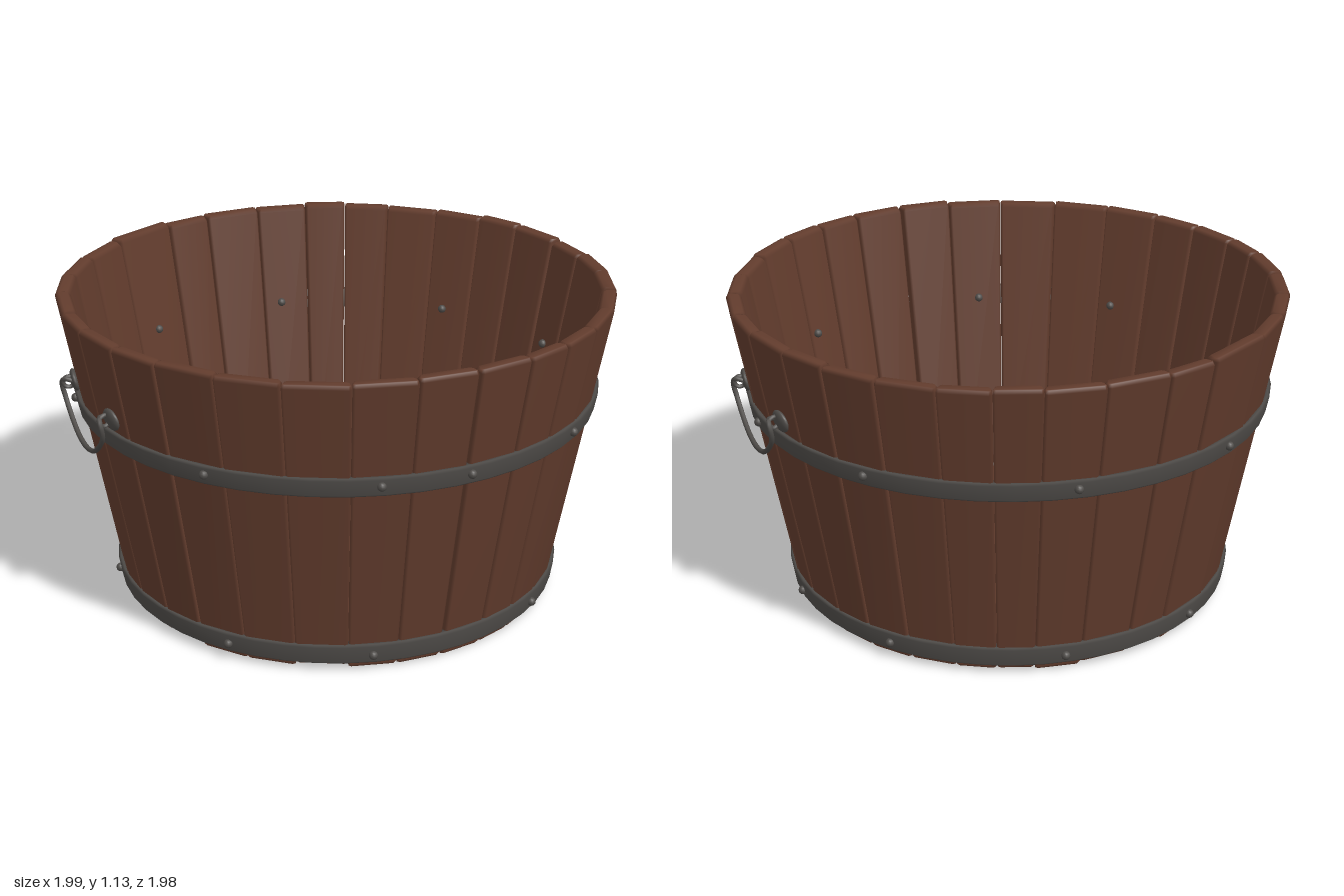
import * as THREE from 'three';

const wood = new THREE.MeshStandardMaterial({ color: 0x623c2d });
wood.name = 'brown wood';
const iron = new THREE.MeshStandardMaterial({ color: 0x4e4b48 });
iron.name = 'dark iron';

const RAD = Math.PI / 180;
const TOP = 1.13, WALL = 0.055;
// Outer radius of the flared wall at height y
const wallRadius = (y) => 0.787 + 0.211 * (y / TOP);

let seed = 7;
function rand() {
  seed = (seed * 16807) % 2147483647;
  return seed / 2147483647;
}

function add(parent, name, geometry, material, x = 0, y = 0, z = 0) {
  const mesh = new THREE.Mesh(geometry, material);
  mesh.name = name;
  mesh.position.set(x, y, z);
  parent.add(mesh);
  return mesh;
}

// One tapered plank facing +z, with softened edges
function staveGeometry(half, gapA, gapB, y0, y1, shift) {
  const rings = [[y0, 0.008], [y0 + 0.012, 0], [y1 - 0.012, 0], [y1, 0.009]];
  const pos = [], idx = [], n = 8, b = 0.008;
  for (const [y, inset] of rings) {
    const R = wallRadius(y) + shift;
    const zo = R * Math.cos(half) - inset, zi = (R - WALL) * Math.cos(half) + inset;
    const xo = R * Math.sin(half), xi = (R - WALL) * Math.sin(half);
    const lo = -xo + gapA + inset * 0.4, ro = xo - gapB - inset * 0.4;
    const li = -xi + gapA + inset * 0.4, ri = xi - gapB - inset * 0.4;
    const section = [
      [lo, zo - b], [lo + b, zo], [ro - b, zo], [ro, zo - b],
      [ri, zi + b], [ri - b, zi], [li + b, zi], [li, zi + b],
    ];
    for (const [x, z] of section) pos.push(x, y, z);
  }
  for (let r = 0; r < rings.length - 1; r++) {
    for (let i = 0; i < n; i++) {
      const a = r * n + i, c = r * n + (i + 1) % n;
      idx.push(a, c, c + n, a, c + n, a + n);
    }
  }
  const t = (rings.length - 1) * n;
  for (let i = 1; i < n - 1; i++) idx.push(t, t + i, t + i + 1, 0, i + 1, i);
  const g = new THREE.BufferGeometry();
  g.setAttribute('position', new THREE.Float32BufferAttribute(pos, 3));
  g.setIndex(idx);
  g.computeVertexNormals();
  return g;
}

// Hoop with a slightly rounded outer face, given outer radii and heights
function hoopGeometry(y0, y1, r0, r1, depth) {
  const e = 0.007;
  const p = [
    [r0 - depth, y0], [r0 - e, y0], [r0, y0 + e],
    [r1, y1 - e], [r1 - e, y1], [r1 - depth, y1], [r0 - depth, y0],
  ].map(([x, y]) => new THREE.Vector2(x, y));
  return new THREE.LatheGeometry(p, 48);
}

// Bail handle hanging between two bosses, built facing +x
function makeHandle(name) {
  const g = new THREE.Group();
  g.name = name;
  const path = [
    [0.935, 0.845, 0.175], [0.965, 0.85, 0.195], [0.967, 0.825, 0.215],
    [0.96, 0.78, 0.205], [0.957, 0.72, 0.145], [0.956, 0.68, 0.075],
  ];
  const pts = path.map(([x, y, z]) => new THREE.Vector3(x, y, z));
  pts.push(new THREE.Vector3(0.956, 0.667, 0));
  for (const [x, y, z] of [...path].reverse()) pts.push(new THREE.Vector3(x, y, -z));
  add(g, 'bail', new THREE.TubeGeometry(new THREE.CatmullRomCurve3(pts), 64, 0.009, 8), iron);
  for (const s of [1, -1]) {
    const boss = add(g, 'handleBoss', new THREE.SphereGeometry(0.045, 16, 10), iron, 0.925, 0.84, s * 0.2);
    boss.scale.set(0.35, 0.9, 1);
    boss.rotation.set(0, -s * 12 * RAD, -10.6 * RAD);
    const eye = add(g, 'handleEye', new THREE.TorusGeometry(0.02, 0.008, 6, 14), iron, 0.948, 0.838, s * 0.195);
    eye.rotation.y = -s * 12 * RAD;
  }
  return g;
}

export function createModel() {
  const model = new THREE.Group();
  model.name = 'woodenTub';

  // Staves: seam angles in degrees, from the front towards +x
  const seams = [
    2.5, 14.5, 25, 36, 48.5, 60.8, 72.4, 84.5, 95.5, 108.3, 119, 130.7, 142.8, 153.2, 162.7, 174.5,
    187.7, 198.5, 215, 228, 240, 252, 265, 275.3, 287.4, 299, 312, 325, 338, 350.5, 362.5,
  ];
  const staves = new THREE.Group();
  staves.name = 'staves';
  model.add(staves);
  const gap = (a) => ([2.5, 362.5, 95.5, 265].includes(a) ? 0.005 : 0.0018);
  for (let i = 0; i < seams.length - 1; i++) {
    const a = seams[i], b = seams[i + 1];
    const y0 = 0.008 + rand() * 0.018, y1 = TOP - 0.004 + rand() * 0.012;
    const g = staveGeometry((b - a) / 2 * RAD, gap(a), gap(b), y0, y1, (rand() - 0.5) * 0.006);
    add(staves, 'stave', g, wood).rotation.y = (a + b) / 2 * RAD;
  }

  // Floor and the thin iron seam around it
  add(model, 'floor', new THREE.CylinderGeometry(0.745, 0.74, 0.02, 48), wood, 0, 0.06, 0);
  add(model, 'floorSeam', hoopGeometry(0.055, 0.085, 0.75, 0.755, 0.02), iron);

  // Hoops
  add(model, 'upperHoop', hoopGeometry(0.72, 0.79, 0.936, 0.947, 0.035), iron);
  add(model, 'lowerHoop', hoopGeometry(0.035, 0.11, 0.808, 0.818, 0.03), iron);

  // Rivets, the upper ones passing through to the inside
  const rivets = new THREE.Group();
  rivets.name = 'rivets';
  model.add(rivets);
  const head = new THREE.SphereGeometry(0.016, 10, 8);
  const rivet = (deg, y, r) =>
    add(rivets, 'rivet', head, iron, r * Math.sin(deg * RAD), y, r * Math.cos(deg * RAD));
  for (const deg of [-152, -104, -52, -16, 34, 90, 126, 170]) {
    rivet(deg, 0.76, 0.944);
    rivet(deg, 0.76, 0.866);
    rivet(deg, 0.07, 0.815);
  }
  rivet(3, 0.76, 0.944);

  // Handles on both sides
  const left = makeHandle('leftHandle');
  const right = makeHandle('rightHandle');
  right.rotation.y = Math.PI;
  model.add(left, right);
  return model;
}
